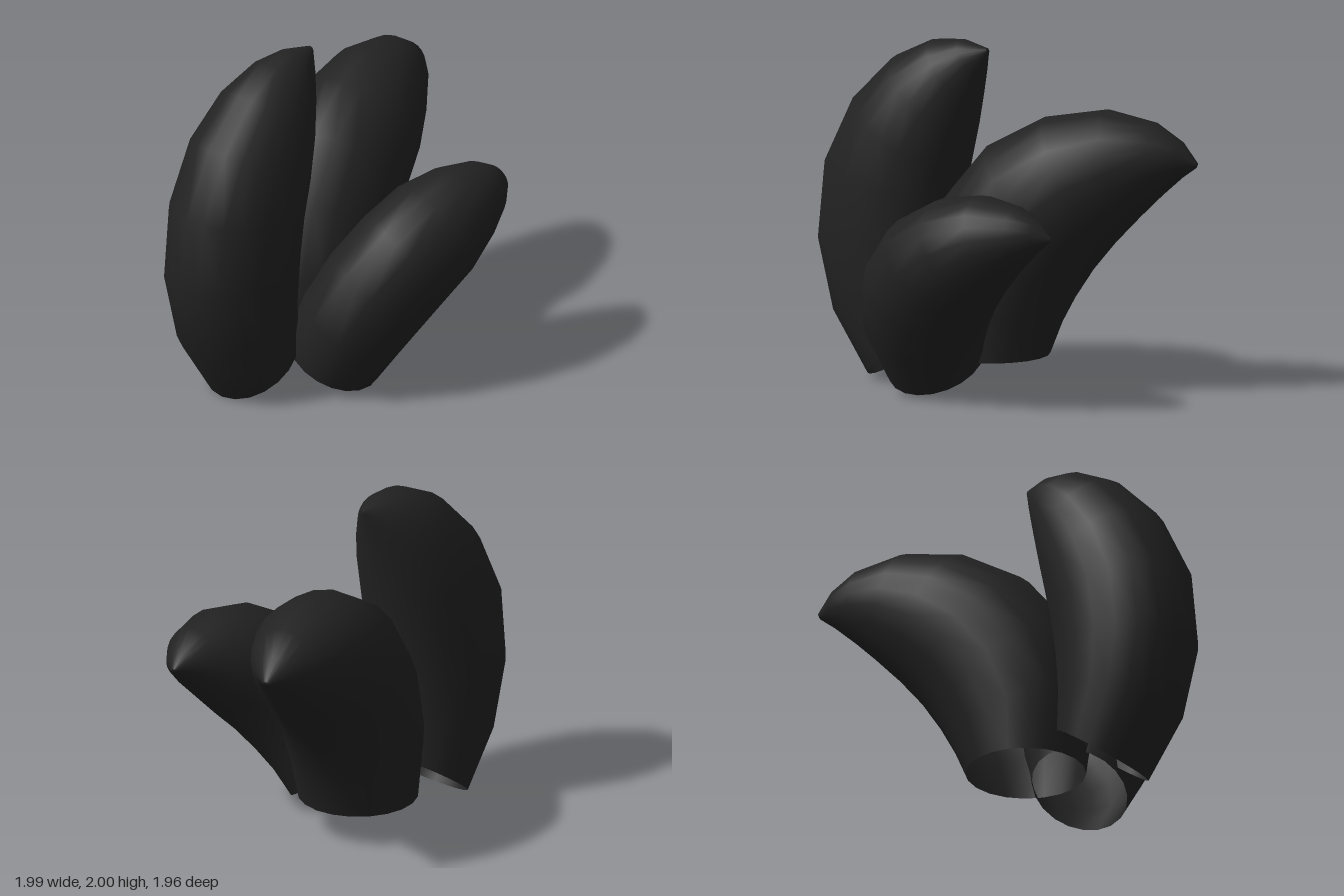
import * as THREE from 'three';

const SIDES = 20;

// Loft a curved claw from rings. outer / inner give the ends of each ring in the
// bend plane (forward, up), halfWidth its sideways radius. The base stays open.
function claw(name, material, { base, forward, up, outer, inner, halfWidth, scale = 1, widen = 1 }) {
  const n = new THREE.Vector3(...up).normalize();
  const f = new THREE.Vector3(...forward);
  f.addScaledVector(n, -f.dot(n)).normalize();
  const e = f.clone().cross(n);
  const origin = new THREE.Vector3(...base);
  const positions = [], index = [];
  const put = (w, h, s) => {
    const p = origin.clone().addScaledVector(f, w * scale).addScaledVector(n, h * scale).addScaledVector(e, s * scale * widen);
    positions.push(p.x, p.y, p.z);
  };
  outer.forEach(([ow, oh], i) => {
    const [iw, ih] = inner[i];
    for (let j = 0; j < SIDES; j++) {
      const a = (j / SIDES) * Math.PI * 2, c = Math.cos(a) / 2;
      put((ow + iw) / 2 + c * (ow - iw), (oh + ih) / 2 + c * (oh - ih), Math.sin(a) * halfWidth[i]);
    }
  });
  const last = outer.length - 1;
  for (let i = 0; i < last; i++) {
    for (let j = 0; j < SIDES; j++) {
      const k = (j + 1) % SIDES;
      const a = i * SIDES + j, b = i * SIDES + k;
      index.push(a, b, a + SIDES, b, b + SIDES, a + SIDES);
    }
  }
  // Close the blunt tip
  put((outer[last][0] + inner[last][0]) / 2, (outer[last][1] + inner[last][1]) / 2, 0);
  for (let j = 0; j < SIDES; j++) {
    index.push(last * SIDES + j, last * SIDES + ((j + 1) % SIDES), (last + 1) * SIDES);
  }
  const geometry = new THREE.BufferGeometry();
  geometry.setAttribute('position', new THREE.Float32BufferAttribute(positions, 3));
  geometry.setIndex(index);
  geometry.computeVertexNormals();
  const mesh = new THREE.Mesh(geometry, material);
  mesh.name = name;
  return mesh;
}

export function createModel() {
  const black = new THREE.MeshStandardMaterial({ color: 0x222222, side: THREE.DoubleSide });
  black.name = 'softBlack';

  // Profile shared by the back and the small claw
  const curved = {
    outer: [[-0.345, 0], [-0.41, 0.46], [-0.28, 0.88], [-0.02, 1.2], [0.33, 1.39], [0.68, 1.45], [0.98, 1.39], [1.14, 1.29], [1.24, 1.17]],
    inner: [[0.345, 0], [0.42, 0.18], [0.51, 0.35], [0.62, 0.52], [0.75, 0.68], [0.9, 0.84], [1.03, 0.97], [1.15, 1.08], [1.23, 1.14]],
    halfWidth: [0.345, 0.375, 0.39, 0.39, 0.375, 0.3, 0.205, 0.11, 0.02],
  };
  // Profile of the tall, more upright claw
  const tall = {
    outer: [[-0.92, 0], [-1.16, 0.36], [-1.265, 0.79], [-1.22, 1.23], [-1.03, 1.615], [-0.78, 1.865], [-0.54, 1.98], [-0.35, 2], [-0.175, 1.965]],
    inner: [[-0.42, 0.35], [-0.42, 0.6], [-0.4, 0.82], [-0.37, 1.04], [-0.33, 1.24], [-0.28, 1.45], [-0.235, 1.65], [-0.195, 1.81], [-0.165, 1.93]],
    halfWidth: [0.29, 0.33, 0.355, 0.36, 0.345, 0.285, 0.2, 0.11, 0.02],
  };

  const model = new THREE.Group();
  model.name = 'clawCluster';
  model.add(
    claw('tallClaw', black, { base: [0, 0, 0], forward: [1, 0, -1], up: [0, 1, 0], ...tall }),
    claw('backClaw', black, { base: [-0.09, 0.2, 0.11], forward: [0.5, 0, -0.87], up: [0, 1, 0], ...curved }),
    claw('smallClaw', black, {
      base: [0, 0.17, 0.445], forward: [0.634, 0.056, -0.772], up: [0.354, 0.866, 0.354],
      ...curved, scale: 0.82, widen: 1.03,
    }),
  );
  return model;
}
